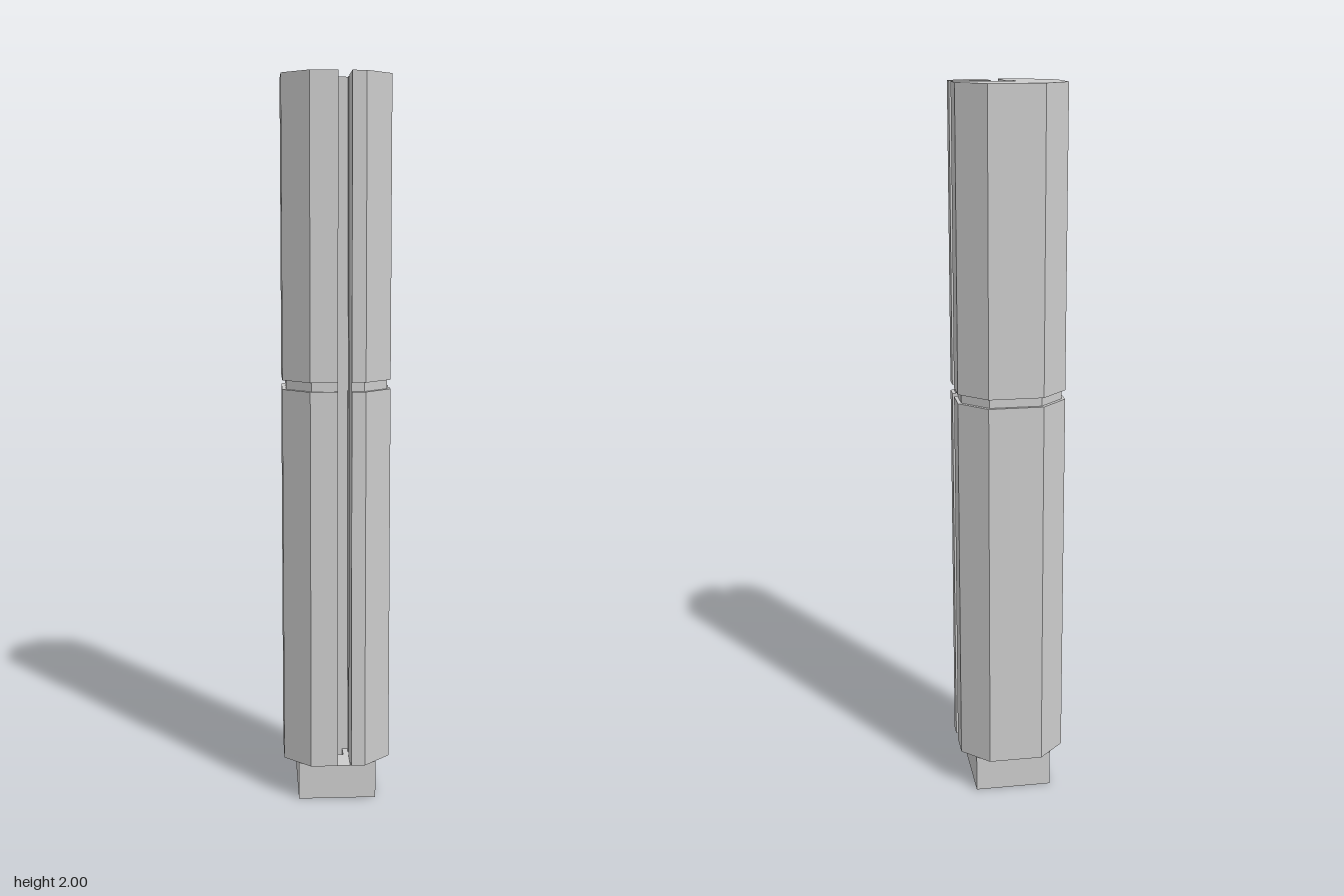
import * as THREE from 'three';

const SLOT = 0.037; // slot runs from 0 to SLOT on each axis
const BORE = 0.022; // half width of the central bore

// Shapes are drawn in (x, z); z is flipped so the extrusion can stand upright.
const toShape = (pts) => new THREE.Shape(pts.map(([x, z]) => new THREE.Vector2(x, -z)));

// Main C-shaped section: half width a, chamfer starting at c, slots toward +x and +z.
function mainSection(a, c) {
  const pts = [
    [SLOT, -BORE], [SLOT, 0], [a, 0], [a, -c], [c, -a], [-c, -a], [-a, -c],
    [-a, c], [-c, a], [0, a], [0, SLOT], [-BORE, SLOT], [-BORE, -BORE],
  ];
  return toShape(pts.filter((p, i) => i === 0 || p[0] !== pts[i - 1][0] || p[1] !== pts[i - 1][1]));
}

// Corner section left standing between the two slots.
function cornerSection(a, c) {
  const pts = [[SLOT, SLOT], [a, SLOT], [a, c]];
  if (c < a) pts.push([c, a]);
  pts.push([SLOT, a]);
  return toShape(pts);
}

export function createModel() {
  const group = new THREE.Group();
  const grey = new THREE.MeshStandardMaterial({ color: 0xcccccc });
  grey.name = 'light grey';

  const add = (name, shape, y0, y1) => {
    const geo = new THREE.ExtrudeGeometry(shape, { depth: y1 - y0, bevelEnabled: false });
    geo.rotateX(-Math.PI / 2).translate(0, y0, 0);
    const mesh = new THREE.Mesh(geo, grey);
    mesh.name = name;
    group.add(mesh);
  };

  // Solid foot with the bore running through it
  const foot = toShape([[-0.108, -0.108], [-0.108, 0.108], [0.108, 0.108], [0.108, -0.108]]);
  foot.holes.push(new THREE.Path([[-1, -1], [-1, 1], [1, 1], [1, -1]]
    .map(([x, y]) => new THREE.Vector2(x * BORE, y * BORE))));
  add('foot', foot, 0, 0.095);

  // Slotted layers: top of the foot, lower post, recessed groove, upper post
  const layers = [
    ['footTop', 0.108, 0.108, 0.095, 0.11],
    ['lowerPost', 0.148, 0.075, 0.11, 1.16],
    ['groove', 0.138, 0.071, 1.16, 1.185],
    ['upperPost', 0.148, 0.075, 1.185, 2],
  ];
  for (const [name, a, c, y0, y1] of layers) {
    add(name, mainSection(a, c), y0, y1);
    add(name + 'Corner', cornerSection(a, c), y0, y1);
  }
  return group;
}
